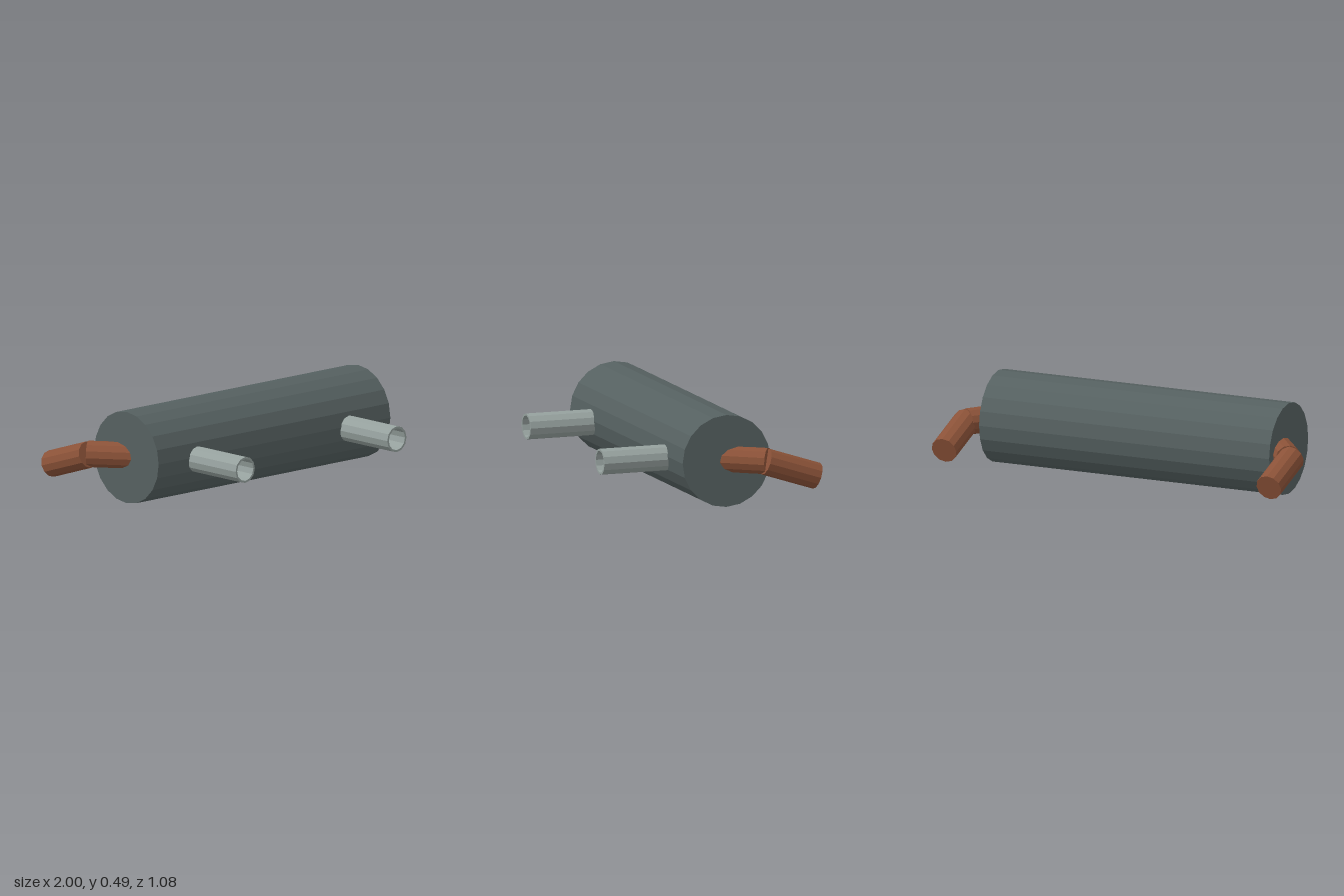
import * as THREE from 'three';

const material = (name, color) => {
  const m = new THREE.MeshStandardMaterial({ color });
  m.name = name;
  m.flatShading = true;
  return m;
};

// Solid round bar between two points
function rod(name, from, to, radius, sides, mat) {
  const dir = to.clone().sub(from);
  const mesh = new THREE.Mesh(new THREE.CylinderGeometry(radius, radius, dir.length(), sides), mat);
  mesh.position.copy(from).add(to).multiplyScalar(0.5);
  mesh.quaternion.setFromUnitVectors(new THREE.Vector3(0, 1, 0), dir.normalize());
  mesh.name = name;
  return mesh;
}

export function createModel() {
  const group = new THREE.Group();
  group.name = 'muffler';
  const steel = material('dark steel', 0x556060);
  const zinc = material('light grey metal', 0x95a09d);
  const copper = material('rusty brown', 0x8b5238);

  // Main drum lying along x
  const drumGeo = new THREE.CylinderGeometry(0.243, 0.243, 1.66, 20);
  drumGeo.rotateZ(Math.PI / 2);
  const drum = new THREE.Mesh(drumGeo, steel);
  drum.position.set(0, 0.245, -0.055);
  drum.name = 'drum';
  group.add(drum);

  // Hollow outlet pipe wall: outside, rim, inside
  const wall = [[0.069, 0.1], [0.069, 0.54], [0.058, 0.54], [0.058, 0.1]];
  const outletGeo = new THREE.LatheGeometry(wall.map(([r, y]) => new THREE.Vector2(r, y)), 12);
  outletGeo.rotateX(Math.PI / 2);

  for (const [side, s] of [['left', 1], ['right', -1]]) {
    const outlet = new THREE.Mesh(outletGeo, zinc);
    outlet.position.set(s * 0.543, 0.23, 0);
    outlet.name = side + 'OutletPipe';
    group.add(outlet);

    // Bent inlet: angled piece out of the drum end, then a piece sloping back and down
    const p = (x, y, z) => new THREE.Vector3(s * x, y, z);
    group.add(
      rod(side + 'InletElbow', p(0.74, 0.247, -0.016), p(0.92, 0.247, -0.252), 0.07, 12, copper),
      rod(side + 'InletPipe', p(0.929, 0.247, -0.235), p(0.929, 0.154, -0.518), 0.07, 12, copper)
    );
  }
  return group;
}
